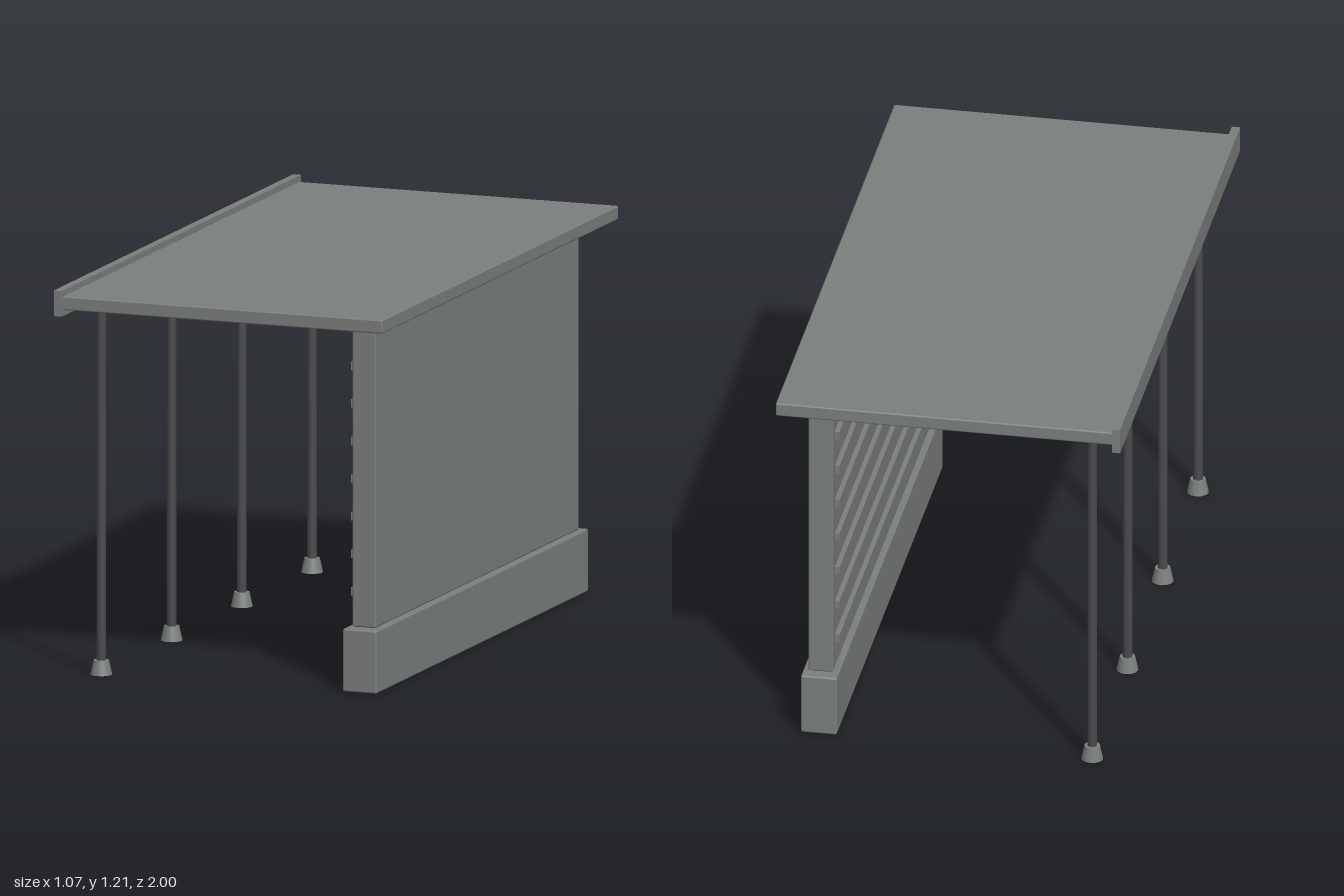
import * as THREE from 'three';
import { RoundedBoxGeometry } from 'three/addons/geometries/RoundedBoxGeometry.js';

const material = (name, color) => {
  const m = new THREE.MeshStandardMaterial({ color });
  m.name = name;
  return m;
};

export function createModel() {
  const group = new THREE.Group();
  group.name = 'shelter';
  const concrete = material('concrete grey', 0x7b807d);
  const steel = material('dark steel', 0x4b4b4e);
  const teal = material('teal', 0x3f7b80);

  const add = (name, geometry, mat, x, y, z) => {
    const mesh = new THREE.Mesh(geometry, mat);
    mesh.name = name;
    mesh.position.set(x, y, z);
    group.add(mesh);
    return mesh;
  };
  // Block given by its x and y limits and its length along z
  const block = (name, x0, x1, y0, y1, length, bevel) => {
    const size = [x1 - x0, y1 - y0, length];
    const geometry = bevel
      ? new RoundedBoxGeometry(...size, 2, bevel)
      : new THREE.BoxGeometry(...size);
    return add(name, geometry, concrete, (x0 + x1) / 2, (y0 + y1) / 2, 0);
  };

  // Roof slab with a raised fascia on the open side
  block('roof', -0.535, 0.535, 1.147, 1.19, 1.976, 0.005);
  block('fascia', -0.539, -0.513, 1.129, 1.209, 2);

  // Back wall on its plinth
  block('wall', 0.382, 0.459, 0.2, 1.147, 1.7, 0.006);
  block('plinth', 0.364, 0.476, 0.003, 0.199, 1.77, 0.006);

  // Horizontal slats on the inside of the wall
  for (let i = 0; i < 7; i++) {
    const y = 0.304 + i * 0.117;
    block('slat', 0.367, 0.385, y - 0.013, y + 0.013, 1.64);
  }

  // Round panel on the inside of the wall
  const panel = add('roundPanel', new THREE.CylinderGeometry(0.234, 0.234, 0.034, 32), teal, 0.368, 0.695, 0.45);
  panel.rotation.z = Math.PI / 2;

  // Posts with flared feet along the open side
  for (let i = 0; i < 4; i++) {
    const z = -0.88 + i * 0.5867;
    add('post', new THREE.CylinderGeometry(0.015, 0.015, 1.13, 12), steel, -0.43, 0.585, z);
    add('postFoot', new THREE.CylinderGeometry(0.024, 0.034, 0.045, 12), concrete, -0.43, 0.0225, z);
  }
  return group;
}
